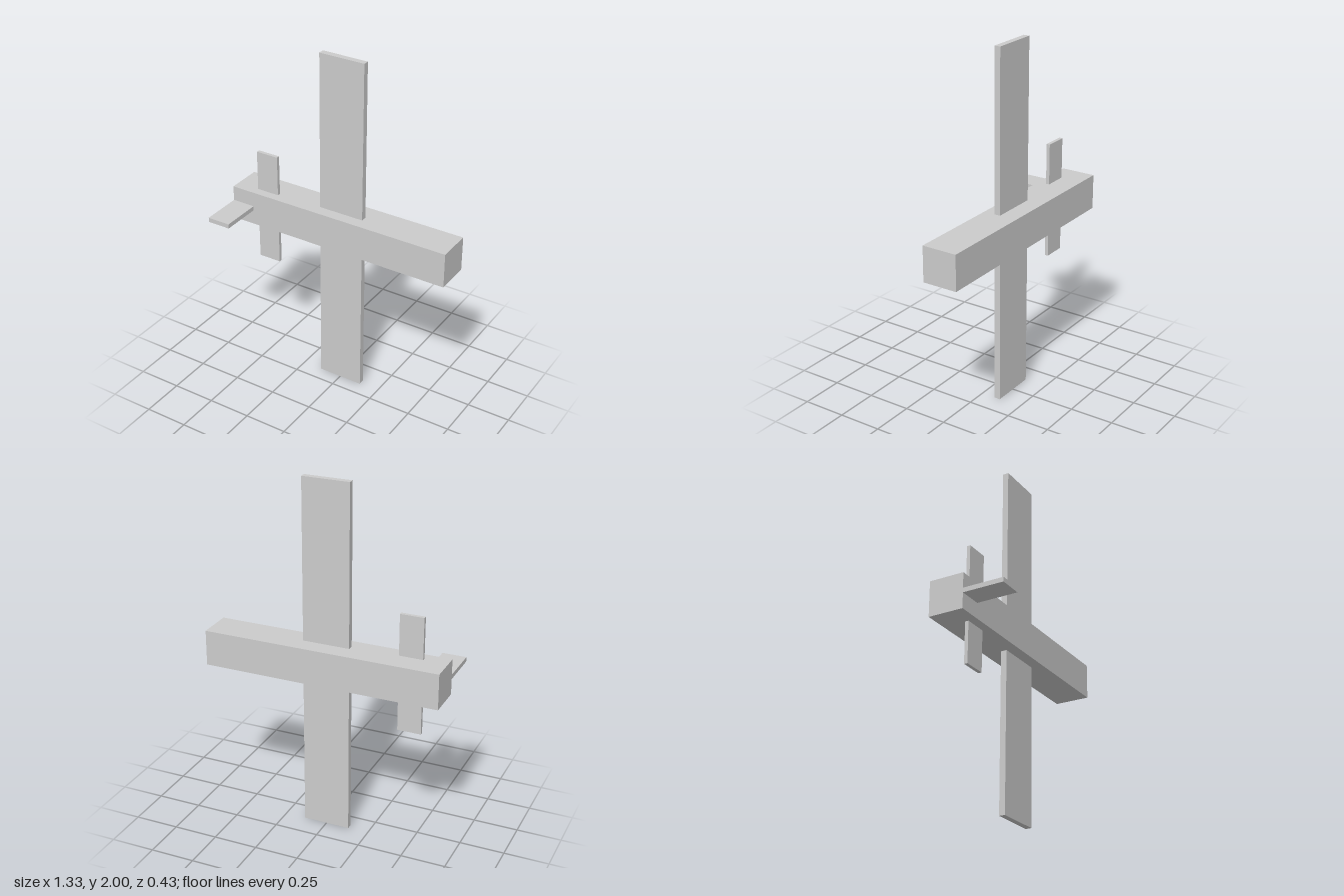
import * as THREE from 'three';

export function createModel() {
  const model = new THREE.Group();
  const material = new THREE.MeshStandardMaterial({ color: 0xcccccc, flatShading: true });

  // Adds a box spanning two opposite corners
  function addBox(name, min, max) {
    const size = max.map((v, i) => v - min[i]);
    const mesh = new THREE.Mesh(new THREE.BoxGeometry(...size), material);
    mesh.position.set(...max.map((v, i) => (v + min[i]) / 2));
    mesh.name = name;
    model.add(mesh);
  }

  // Square body lying along x
  addBox('fuselage', [-0.667, 0.9, -0.217], [0.667, 1.1, -0.017]);
  // Long flat wing passing through the body
  addBox('mainWing', [-0.133, 0, -0.117], [0.133, 2, -0.083]);
  // Short tailplane, set slightly forward of the wing plane
  addBox('tailplane', [-0.533, 0.667, -0.087], [-0.4, 1.333, -0.067]);
  // Fin standing out from the body's front face at the tail end
  addBox('tailFin', [-0.667, 0.987, -0.017], [-0.533, 1.013, 0.217]);

  return model;
}
